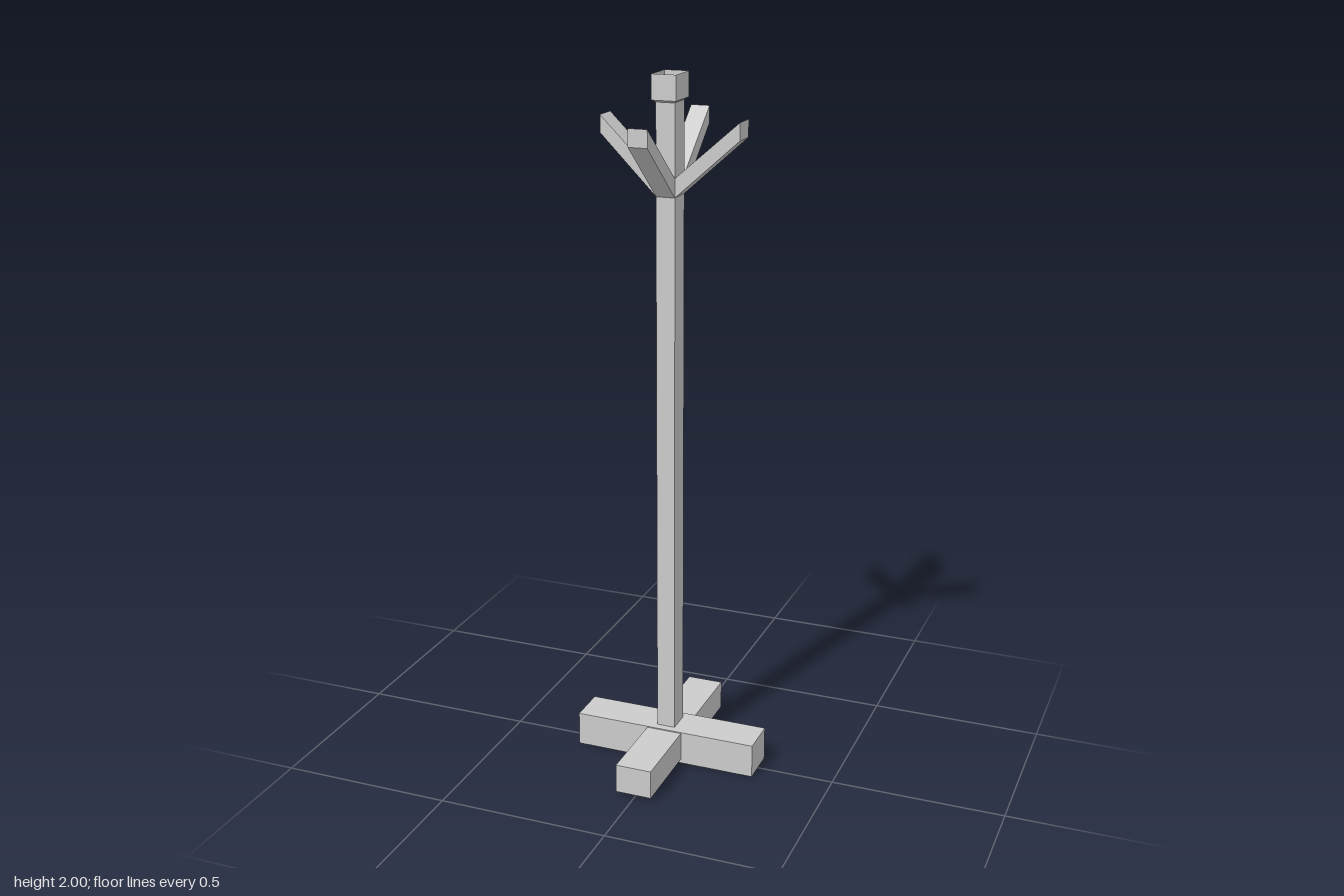
import * as THREE from 'three';

const grey = new THREE.MeshStandardMaterial({ color: 0xcccccc, side: THREE.DoubleSide, flatShading: true });
grey.name = 'grey';

// Post centre line and section
const CX = -0.003, CZ = -0.002, POST_W = 0.054, POST_D = 0.07;

function add(parent, name, geometry, x = 0, y = 0, z = 0) {
  const mesh = new THREE.Mesh(geometry, grey);
  mesh.name = name;
  mesh.position.set(x, y, z);
  parent.add(mesh);
  return mesh;
}

// Box without its underside
function hollowBox(w, h, d) {
  const geometry = new THREE.BoxGeometry(w, h, d);
  const index = Array.from(geometry.index.array);
  index.splice(18, 6);
  geometry.setIndex(index);
  geometry.clearGroups();
  return geometry;
}

// Open four-sided sleeve; taper scales the lower edge
function sleeve(w, h, d, taper) {
  const r = Math.SQRT1_2;
  return new THREE.CylinderGeometry(r, r * taper, h, 4, 1, true).rotateY(Math.PI / 4).scale(w, 1, d);
}

// Slanted peg with a vertical end, running outward along +x
function pegGeometry(root, tip, width) {
  const shape = new THREE.Shape([
    new THREE.Vector2(root, 1.675),
    new THREE.Vector2(tip, 1.837),
    new THREE.Vector2(tip, 1.885),
    new THREE.Vector2(root, 1.727),
  ]);
  return new THREE.ExtrudeGeometry(shape, { depth: width, bevelEnabled: false }).translate(0, 0, -width / 2);
}

export function createModel() {
  const group = new THREE.Group();
  group.name = 'coatStand';

  // Crossed feet
  add(group, 'footAcross', hollowBox(0.547, 0.1, 0.116), 0, 0.05, -0.002);
  add(group, 'footFrontToBack', hollowBox(0.106, 0.085, 0.588), 0, 0.0545, -0.001);

  // Post
  add(group, 'post', new THREE.BoxGeometry(POST_W, 1.83, POST_D), CX, 1.012, CZ);

  // Open cap with a thin sloping ledge
  add(group, 'cap', sleeve(0.069, 0.068, 0.095, 1), CX, 1.966, CZ);
  add(group, 'capLedge', sleeve(0.069, 0.006, 0.095, 0.76), CX, 1.929, CZ);

  // Four pegs
  const pegs = [
    ['leftPeg', 0, 0.026, 0.207, POST_D],
    ['rightPeg', Math.PI, 0.026, 0.187, POST_D],
    ['frontPeg', -Math.PI / 2, 0.034, 0.227, POST_W],
    ['backPeg', Math.PI / 2, 0.034, 0.228, POST_W],
  ];
  for (const [name, angle, root, tip, width] of pegs) {
    add(group, name, pegGeometry(root, tip, width), CX, 0, CZ).rotation.y = angle;
  }
  return group;
}
